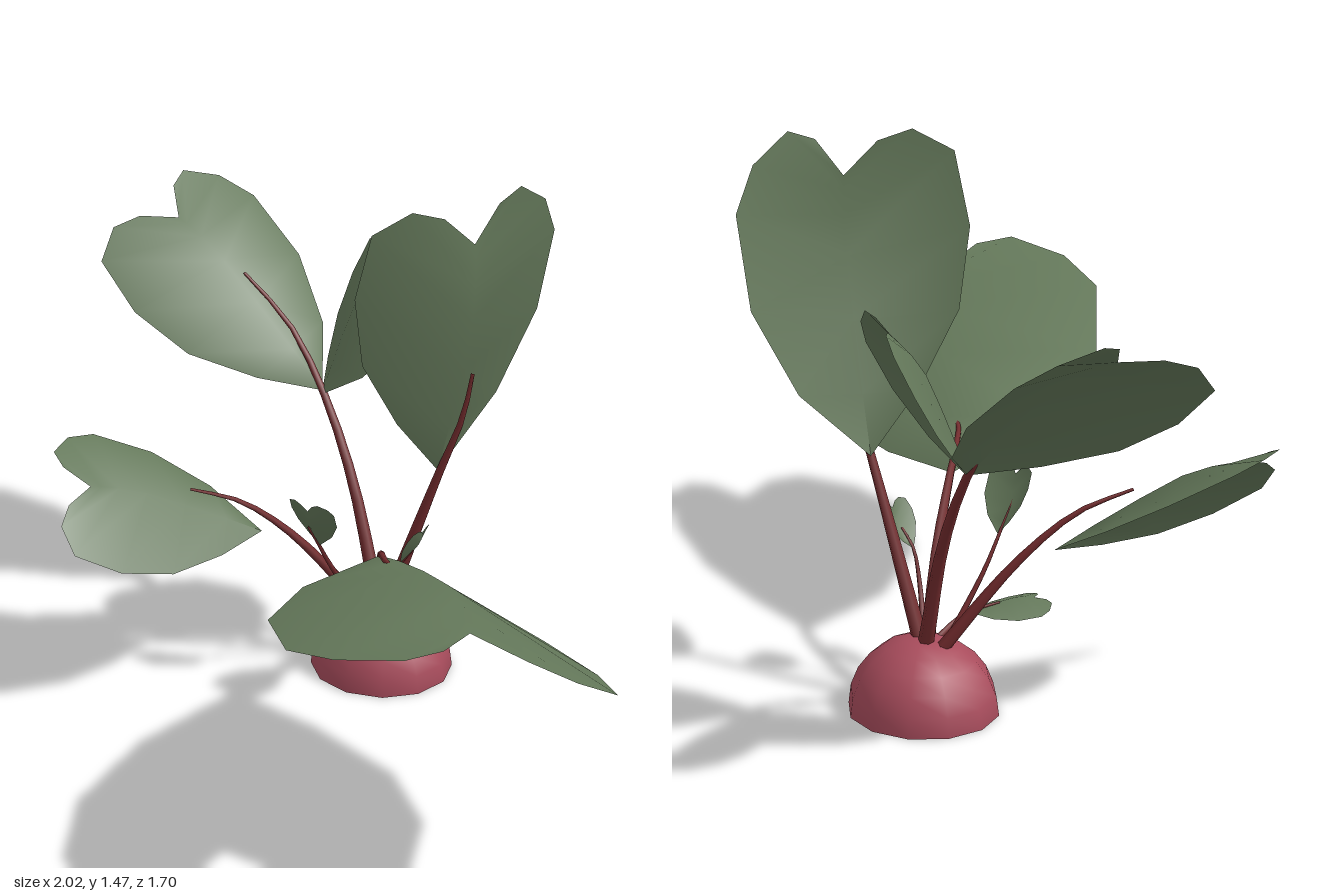
import * as THREE from 'three';

const V = (a) => new THREE.Vector3(...a);

const bulbRed = new THREE.MeshStandardMaterial({ color: 0xa84c5c, side: THREE.DoubleSide });
bulbRed.name = 'bulbRed';
const stemRed = new THREE.MeshStandardMaterial({ color: 0x742c2e });
stemRed.name = 'stemRed';
const leafGreen = new THREE.MeshStandardMaterial({ color: 0x64785a, side: THREE.DoubleSide });
leafGreen.name = 'leafGreen';

// Heart-shaped leaf of unit length, as [along, out] pairs for each edge
// and [along, rise] pairs for the arched midrib.
const LEFT = [[0, 0], [0.22, 0.19], [0.49, 0.36], [0.78, 0.425], [1.05, 0.395], [1.14, 0.255], [1.11, 0.13]];
const RIGHT = [[0, 0], [0.26, 0.265], [0.58, 0.42], [0.92, 0.44], [1.08, 0.355], [1.18, 0.205], [1.14, 0.1]];
const MID = [[0, 0], [0.22, 0.028], [0.48, 0.052], [0.71, 0.065], [0.86, 0.045], [0.95, 0.02], [1, 0]];

function leafGeometry() {
  const pos = [], index = [];
  MID.forEach(([t, h], i) => {
    const [lt, lw] = LEFT[i], [rt, rw] = RIGHT[i];
    // both halves droop away from the midrib
    pos.push(lw * 0.968, -lw * 0.25, lt, 0, h, t, -rw * 0.968, -rw * 0.25, rt);
    if (i === 0) return;
    const a = 3 * (i - 1), b = 3 * i;
    for (const k of [0, 1]) {
      index.push(a + k + 1, b + k + 1, b + k, a + k + 1, b + k, a + k);
    }
  });
  const g = new THREE.BufferGeometry();
  g.setAttribute('position', new THREE.Float32BufferAttribute(pos, 3));
  g.setIndex(index);
  g.computeVertexNormals();
  return g;
}

// Places a leaf from its base to its notch, with the ridge side facing `up`.
function makeLeaf(name, geometry, base, notch, up) {
  const b = V(base), along = V(notch).sub(b), size = along.length();
  along.normalize();
  const left = V(up).cross(along).normalize();
  const normal = along.clone().cross(left);
  const mesh = new THREE.Mesh(geometry, leafGreen);
  mesh.name = name;
  mesh.quaternion.setFromRotationMatrix(new THREE.Matrix4().makeBasis(left, normal, along));
  mesh.position.copy(b);
  mesh.scale.setScalar(size);
  return mesh;
}

// Tube that tapers from r0 to r1 along its path.
function makeStem(name, points, r0, r1) {
  const curve = new THREE.CatmullRomCurve3(points.map(V));
  const segs = 10, sides = 6;
  const g = new THREE.TubeGeometry(curve, segs, 1, sides);
  const p = g.attributes.position, v = new THREE.Vector3();
  for (let i = 0; i < p.count; i++) {
    const u = Math.floor(i / (sides + 1)) / segs;
    const c = curve.getPointAt(u);
    v.fromBufferAttribute(p, i).sub(c).multiplyScalar(r0 + (r1 - r0) * u).add(c);
    p.setXYZ(i, v.x, v.y, v.z);
  }
  const mesh = new THREE.Mesh(g, stemRed);
  mesh.name = name;
  return mesh;
}

export function createModel() {
  const root = new THREE.Group();
  root.name = 'sproutingRootVegetable';

  // Half-buried bulb, open underneath
  const bulb = new THREE.Mesh(
    new THREE.SphereGeometry(0.2, 12, 6, 0, Math.PI * 2, 0, Math.PI / 2), bulbRed);
  bulb.name = 'bulb';
  bulb.scale.z = 0.95;
  bulb.position.set(-0.11, 0, -0.416);
  root.add(bulb);

  // Leaves: name, base, notch, ridge direction
  const leaf = leafGeometry();
  [
    ['largeFrontLeaf', [0.055, 0.52, -0.12], [0.7, 0.795, 0.56], [-0.04, 0.93, -0.37]],
    ['uprightLeaf', [0.06, 0.645, -0.42], [0.185, 1.345, -0.375], [0.86, -0.18, 0.49]],
    ['backRightLeaf', [-0.375, 0.73, -0.54], [-0.865, 1.13, -0.575], [0.563, 0.718, 0.376]],
    ['backTwinLeaf', [-0.375, 0.72, -0.535], [-0.27, 1.084, -0.68], [-0.456, 0.44, 0.775]],
    ['frontRightLeaf', [-0.37, 0.44, -0.21], [-0.68, 0.65, 0.15], [0.64, 0.76, 0.06]],
    ['smallUprightLeaf', [-0.19, 0.44, -0.22], [-0.18, 0.58, -0.14], [0, -0.5, 0.87]],
    ['smallSideLeaf', [0, 0.385, -0.33], [0.06, 0.485, -0.343], [0.85, -0.5, 0]],
    ['smallLowLeaf', [-0.13, 0.225, -0.265], [-0.21, 0.237, -0.1], [0, 1, -0.05]],
  ].forEach(([name, base, notch, up]) => root.add(makeLeaf(name, leaf, base, notch, up)));

  // Stems: name, path, start radius, end radius
  [
    ['largeFrontStem', [[-0.11, 0.17, -0.4], [-0.02, 0.38, -0.26], [0.06, 0.525, -0.12], [0.14, 0.585, 0], [0.26, 0.605, 0.11]], 0.021, 0.004],
    ['uprightStem', [[-0.1, 0.17, -0.41], [0.01, 0.48, -0.41], [0.07, 0.645, -0.41], [0.14, 0.83, -0.41], [0.17, 0.965, -0.405]], 0.021, 0.005],
    ['backRightStem', [[-0.12, 0.17, -0.42], [-0.25, 0.51, -0.49], [-0.375, 0.73, -0.54], [-0.5, 0.89, -0.57], [-0.65, 1.01, -0.575]], 0.021, 0.004],
    ['frontRightStem', [[-0.16, 0.17, -0.41], [-0.31, 0.42, -0.27], [-0.41, 0.54, -0.165], [-0.505, 0.595, -0.065]], 0.018, 0.004],
    ['smallUprightStem', [[-0.15, 0.17, -0.38], [-0.19, 0.36, -0.27], [-0.195, 0.45, -0.215], [-0.195, 0.52, -0.165]], 0.01, 0.003],
    ['smallSideStem', [[-0.08, 0.18, -0.38], [-0.03, 0.3, -0.34], [0, 0.385, -0.33], [0.035, 0.435, -0.335]], 0.009, 0.003],
    ['smallLowStem', [[-0.12, 0.18, -0.38], [-0.125, 0.215, -0.3], [-0.14, 0.23, -0.25], [-0.17, 0.24, -0.19]], 0.009, 0.003],
  ].forEach(([name, path, r0, r1]) => root.add(makeStem(name, path, r0, r1)));

  return root;
}
